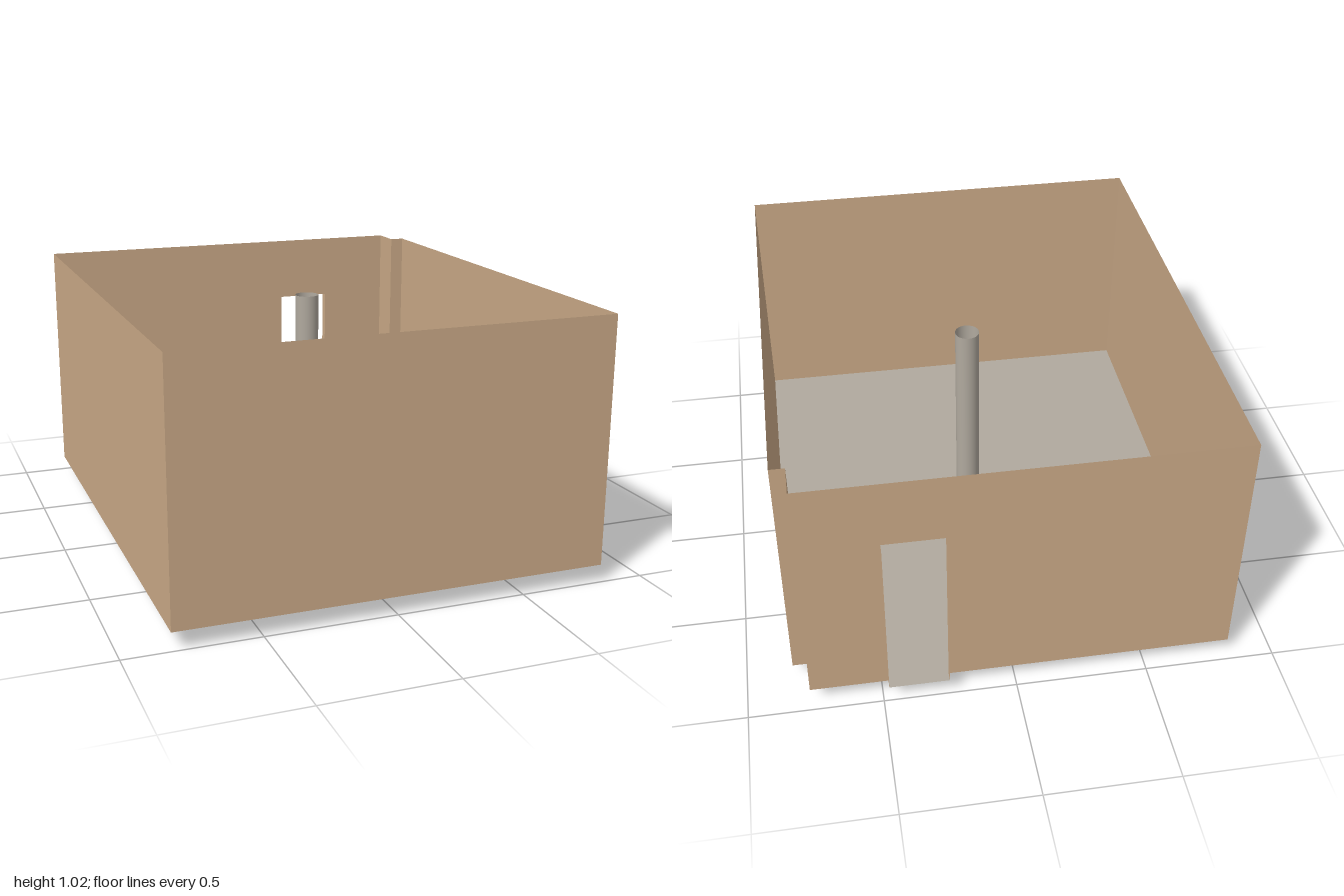
import * as THREE from 'three';

const BASE = 0.07, TOP = 1.025, DOOR_TOP = 0.755;
const BACK = -0.966, SILL = -1;
const DOOR_L = 0.253, DOOR_R = 0.478;

export function createModel() {
  const room = new THREE.Group();
  room.name = 'room';

  const wallMat = new THREE.MeshStandardMaterial({ color: 0xcaa987, side: THREE.DoubleSide });
  wallMat.name = 'tan wall';
  const stoneMat = new THREE.MeshStandardMaterial({ color: 0xb0a99e, side: THREE.DoubleSide });
  stoneMat.name = 'warm grey';

  const add = (name, geometry, material) => {
    const mesh = new THREE.Mesh(geometry, material);
    mesh.name = name;
    room.add(mesh);
    return mesh;
  };

  // Upright sheet between two plan points [x, z]
  const wall = (name, [x0, z0], [x1, z1], y0 = BASE, y1 = TOP) => {
    const dx = x1 - x0, dz = z1 - z0;
    const mesh = add(name, new THREE.PlaneGeometry(Math.hypot(dx, dz), y1 - y0), wallMat);
    mesh.position.set((x0 + x1) / 2, (y0 + y1) / 2, (z0 + z1) / 2);
    mesh.rotation.y = Math.atan2(-dz, dx);
  };

  // Plan corners, anticlockwise from above, with a notch at the back left
  const frontRight = [-0.825, 1], frontLeft = [0.825, 1];
  const notchOuter = [0.825, -0.837], notchInner = [0.768, -0.837];
  const backLeft = [0.768, BACK], backRight = [-0.825, BACK];
  const doorLeft = [DOOR_R, BACK], doorRight = [DOOR_L, BACK];
  const sillLeft = [DOOR_R, SILL], sillRight = [DOOR_L, SILL];

  // Plain walls
  wall('frontWall', frontRight, frontLeft);
  wall('leftWall', frontLeft, notchOuter);
  wall('notchFrontWall', notchOuter, notchInner);
  wall('notchSideWall', notchInner, backLeft);
  wall('rightWall', backRight, frontRight);

  // Back wall around the doorway, with jambs reaching outwards
  wall('backWallLeft', backLeft, doorLeft);
  wall('backWallRight', doorRight, backRight);
  wall('wallAboveDoor', doorLeft, doorRight, DOOR_TOP, TOP);
  wall('doorJambLeft', doorLeft, sillLeft, BASE, DOOR_TOP);
  wall('doorJambRight', sillRight, doorRight, BASE, DOOR_TOP);

  // Floor, including the door sill
  const outline = [frontRight, frontLeft, notchOuter, notchInner, backLeft,
    doorLeft, sillLeft, sillRight, doorRight, backRight];
  const floorShape = new THREE.Shape(outline.map(([x, z]) => new THREE.Vector2(x, -z)));
  const floor = add('floor', new THREE.ShapeGeometry(floorShape), stoneMat);
  floor.rotation.x = -Math.PI / 2;
  floor.position.y = BASE;

  // Hollow column passing through the floor
  const height = 0.955;
  const column = add('column', new THREE.CylinderGeometry(0.047, 0.047, height, 32, 1, true), stoneMat);
  column.position.set(0.037, height / 2, -0.033);

  return room;
}
